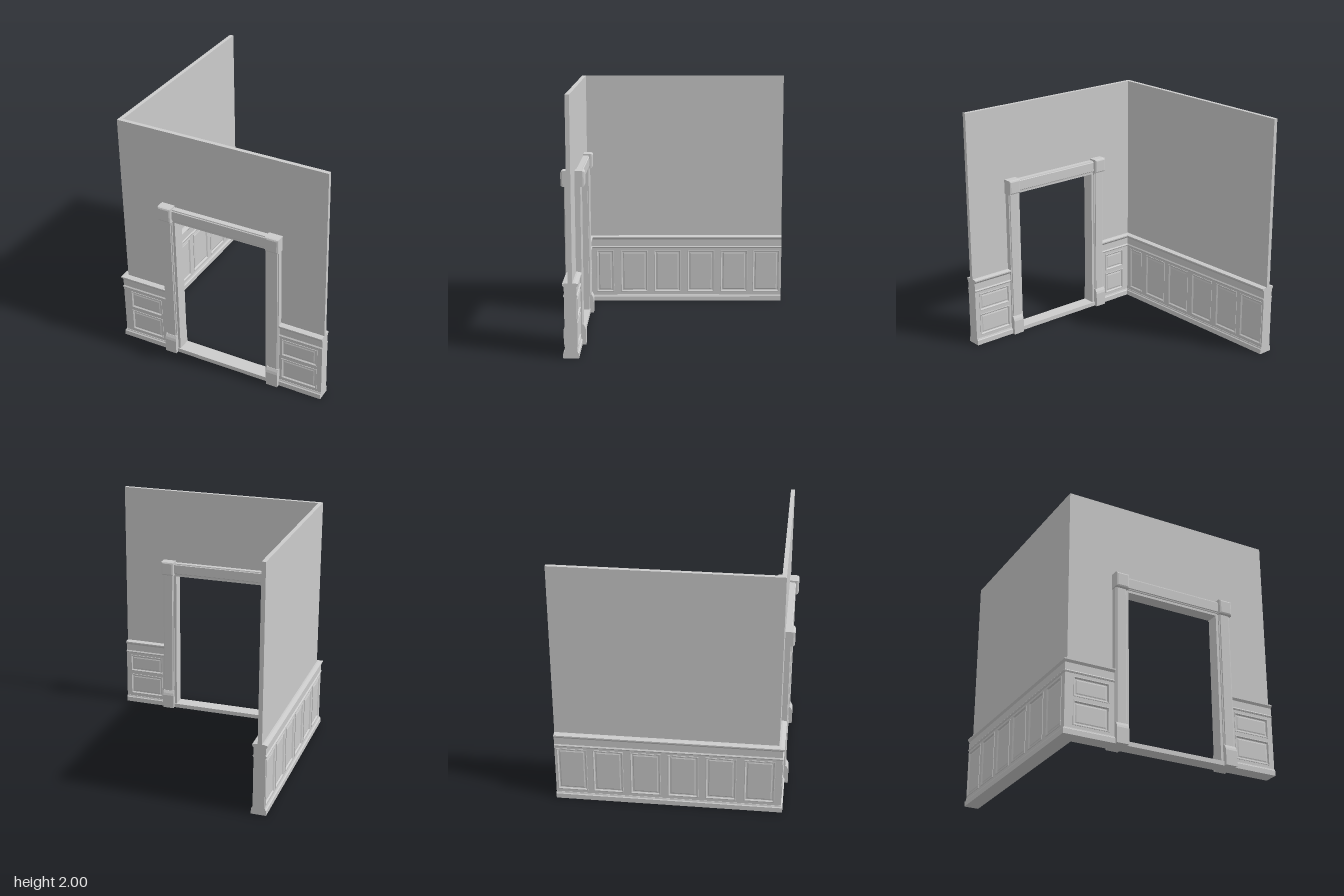
import * as THREE from 'three';

const WALL_Z = 0.82, WALL_X = -0.835;       // centre lines of the two walls
const END_X = 0.895, END_Z = -0.91;         // free ends of the walls
const material = new THREE.MeshStandardMaterial({ color: 0xcccccc, flatShading: true });

function mesh(name, geometry, x = 0, y = 0, z = 0) {
  const m = new THREE.Mesh(geometry, material);
  m.name = name;
  m.position.set(x, y, z);
  return m;
}

function fromTriangles(points) {
  const g = new THREE.BufferGeometry().setFromPoints(points);
  g.computeVertexNormals();
  return g;
}

// Closed stack of rectangles; each ring is [inset, z], ordered by section
function rectLoft(w, h, rings) {
  const loops = rings.map(([i, z]) => {
    const a = w / 2 - i, b = h / 2 - i;
    return [[-a, -b], [a, -b], [a, b], [-a, b]].map(([x, y]) => new THREE.Vector3(x, y, z));
  });
  const pts = [];
  const quad = (a, b, c, d) => pts.push(a, b, c, a, c, d);
  for (let r = 0; r + 1 < loops.length; r++) {
    const A = loops[r], B = loops[r + 1];
    for (let j = 0; j < 4; j++) quad(A[j], A[(j + 1) % 4], B[(j + 1) % 4], B[j]);
  }
  const first = loops[0], last = loops[loops.length - 1];
  quad(first[3], first[2], first[1], first[0]);
  quad(last[0], last[1], last[2], last[3]);
  return fromTriangles(pts);
}

// Symmetric profile (half given as [offset, y]) swept along a mitred floor path
function sweep(half, path) {
  const ring = [...half, ...half.map(([d, y]) => [-d, y]).reverse()].map(p => new THREE.Vector2(...p));
  const p = path.map(q => new THREE.Vector2(...q));
  const normals = p.slice(1).map((q, i) => {
    const t = q.clone().sub(p[i]).normalize();
    return new THREE.Vector2(-t.y, t.x);
  });
  const loops = p.map((q, i) => {
    const a = normals[Math.max(0, i - 1)], b = normals[Math.min(i, normals.length - 1)];
    const m = a.clone().add(b).divideScalar(1 + a.dot(b));
    return ring.map(r => new THREE.Vector3(q.x + r.x * m.x, r.y, q.y + r.x * m.y));
  });
  const pts = [];
  for (let i = 0; i + 1 < loops.length; i++) {
    const A = loops[i], B = loops[i + 1];
    for (let j = 0; j < ring.length; j++) {
      const k = (j + 1) % ring.length;
      pts.push(A[j], B[j], B[k], A[j], B[k], A[k]);
    }
  }
  const first = loops[0], last = loops[loops.length - 1];
  for (const [a, b, c] of THREE.ShapeUtils.triangulateShape(ring, [])) {
    pts.push(first[a], first[b], first[c], last[c], last[b], last[a]);
  }
  return fromTriangles(pts);
}

// Stiles and rails with moulded panels; spans are world coordinates along the wall
function panelFace(name, from, to, panels, side, angle, flip) {
  const s = flip ? -1 : 1;
  const face = new THREE.Group();
  face.name = name;
  const [l, r] = [from * s, to * s].sort((a, b) => a - b);
  const rect = (T, x0, x1, y0, y1) => new T([[x0, y0], [x1, y0], [x1, y1], [x0, y1]].map(q => new THREE.Vector2(...q)));
  const board = rect(THREE.Shape, l, r, 0.05, 0.48);
  for (const [a, b, y0, y1] of panels) {
    const x0 = Math.min(a * s, b * s), x1 = Math.max(a * s, b * s);
    board.holes.push(rect(THREE.Path, x0, x1, y0, y1));
    const g = rectLoft(x1 - x0, y1 - y0, [
      [0, 0.036], [0, 0.051], [0.007, 0.052], [0.016, 0.042], [0.022, 0.042], [0.03, 0.045]
    ]);
    face.add(mesh('panel', g, (x0 + x1) / 2, (y0 + y1) / 2, 0));
  }
  const boardGeo = new THREE.ExtrudeGeometry(board, { depth: 0.011, bevelEnabled: false });
  face.add(mesh('stilesAndRails', boardGeo, 0, 0, 0.036));
  face.rotation.y = angle;
  if (side) face.position.x = WALL_X;
  else face.position.z = WALL_Z;
  return face;
}

export function createModel() {
  const model = new THREE.Group();
  model.name = 'roomCornerWithDoorway';

  // Plain walls, with a lintel piece over the doorway
  const leftPath = [[-0.43, WALL_Z], [WALL_X, WALL_Z], [WALL_X, END_Z]];
  const rightPath = [[END_X, WALL_Z], [0.48, WALL_Z]];
  const slab = y => [[0.0165, y], [0.0165, 2]];
  model.add(mesh('cornerWall', sweep(slab(0), leftPath)));
  model.add(mesh('shortWall', sweep(slab(0), rightPath)));
  model.add(mesh('wallOverDoor', sweep(slab(1.26), [[0.48, WALL_Z], [-0.43, WALL_Z]])));

  // Wainscot core with skirting, bead and cap rail
  const wainscot = [
    [0.06, 0], [0.06, 0.04], [0.053, 0.046], [0.05, 0.056], [0.039, 0.056], [0.039, 0.475],
    [0.05, 0.478], [0.055, 0.488], [0.047, 0.498], [0.047, 0.555], [0.056, 0.567],
    [0.06, 0.572], [0.06, 0.582], [0.03, 0.588]
  ];
  model.add(mesh('cornerWainscot', sweep(wainscot, leftPath)));
  model.add(mesh('shortWainscot', sweep(wainscot, rightPath)));

  // Panelling on both faces of each wall
  const pair = (a, b) => [[a, b, 0.08, 0.27], [a, b, 0.30, 0.455]];
  const row = first => [[0.575, first], [0.275, 0.515], [-0.02, 0.22], [-0.315, -0.075], [-0.61, -0.37], [-0.895, -0.655]]
    .map(([a, b]) => [a, b, 0.08, 0.46]);
  model.add(
    panelFace('frontLeftPanelling', -0.882, -0.43, pair(-0.815, -0.525), false, 0, false),
    panelFace('frontRightPanelling', 0.48, END_X, pair(0.55, 0.855), false, 0, false),
    panelFace('backLeftPanelling', -0.788, -0.43, pair(-0.73, -0.525), false, Math.PI, true),
    panelFace('backRightPanelling', 0.48, END_X, pair(0.55, 0.855), false, Math.PI, true),
    panelFace('sideOuterPanelling', END_Z, 0.867, row(0.815), true, -Math.PI / 2, false),
    panelFace('sideInnerPanelling', END_Z, 0.773, row(0.73), true, Math.PI / 2, true)
  );

  // Door surround, mirrored about the middle of the opening
  const door = new THREE.Group();
  door.name = 'doorSurround';
  door.position.set(0.025, 0, WALL_Z);
  const casing = [[0.012, -0.067], [0.008, -0.061], [0, -0.059], [0, 0.059], [0.008, 0.061], [0.012, 0.067]];
  const block = [[0.014, -0.093], [0.004, -0.088], [0, -0.077], [0, 0.077], [0.004, 0.088], [0.014, 0.093]];
  const plinth = new THREE.Shape([[-0.088, 0], [0.088, 0], [0.088, 0.12], [0.082, 0.14], [0.07, 0.162],
    [-0.07, 0.162], [-0.082, 0.14], [-0.088, 0.12]].map(q => new THREE.Vector2(...q)));
  const plinthGeo = new THREE.ExtrudeGeometry(plinth, { depth: 0.098, bevelEnabled: false })
    .translate(0, 0, -0.049).rotateY(Math.PI / 2);
  for (const s of [-1, 1]) {
    door.add(
      mesh('plinthBlock', plinthGeo, s * 0.459, 0, 0),
      mesh('sideCasing', rectLoft(0.096, 1.12, casing), s * 0.459, 0.71, 0),
      mesh('cornerBlock', rectLoft(0.112, 0.122, block), s * 0.459, 1.319, 0),
      mesh('jambLining', new THREE.BoxGeometry(0.03, 1.25, 0.1), s * 0.405, 0.625, 0)
    );
  }
  door.add(
    mesh('headCasing', rectLoft(0.83, 0.1, casing), 0, 1.316, 0),
    mesh('headLining', new THREE.BoxGeometry(0.83, 0.03, 0.1), 0, 1.262, 0),
    mesh('threshold', new THREE.BoxGeometry(0.84, 0.035, 0.12), 0, 0.0175, 0)
  );
  model.add(door);
  return model;
}
